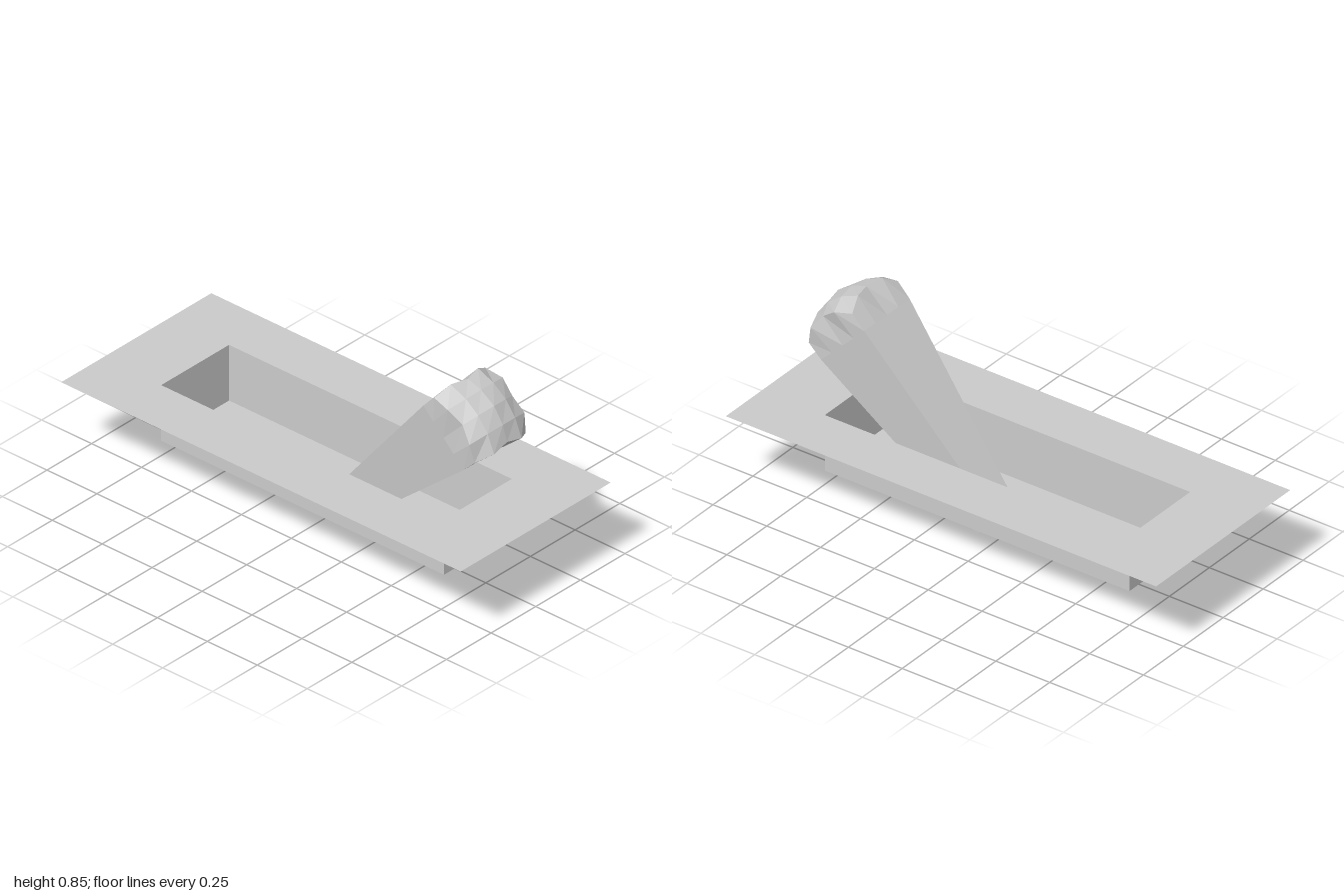
import * as THREE from 'three';

const TOP = 0.35, FLOOR = 0.105;
const material = new THREE.MeshStandardMaterial({ color: 0xcccccc, flatShading: true, side: THREE.DoubleSide });

// Flat-shaded mesh from quads, each given as four corner points
function quadMesh(name, quads) {
  const points = quads.flatMap(([a, b, c, d]) => [a, b, c, a, c, d]);
  const geometry = new THREE.BufferGeometry().setFromPoints(points);
  geometry.computeVertexNormals();
  const mesh = new THREE.Mesh(geometry, material);
  mesh.name = name;
  return mesh;
}

function rectangle(path, x, z0, z1) {
  path.moveTo(-x, z0);
  path.lineTo(x, z0);
  path.lineTo(x, z1);
  path.lineTo(-x, z1);
  path.closePath();
  return path;
}

// Thin cover plate with a rectangular slot
function createPlate() {
  const shape = rectangle(new THREE.Shape(), 1, -0.42, 0.42);
  shape.holes.push(rectangle(new THREE.Path(), 0.708, -0.187, 0.193));
  const plate = new THREE.Mesh(new THREE.ShapeGeometry(shape).rotateX(-Math.PI / 2), material);
  plate.position.y = TOP;
  plate.name = 'coverPlate';
  return plate;
}

// Open-topped tray hanging under the slot
function createTray() {
  const corners = [[-0.708, 0.187], [0.708, 0.187], [0.708, -0.193], [-0.708, -0.193]];
  const at = ([x, z], y) => new THREE.Vector3(x, y, z);
  const quads = corners.map((c, i) => {
    const n = corners[(i + 1) % 4];
    return [at(c, FLOOR), at(n, FLOOR), at(n, TOP), at(c, TOP)];
  });
  quads.push(corners.map((c) => at(c, FLOOR)).reverse());
  return quadMesh('recessTray', quads);
}

// Tapered square lever with a faceted, domed grip end; local y runs along the lever
function createLever() {
  const N = 4;
  const section = (y, half) => (i, j) => new THREE.Vector3((i / 2 - 1) * half, y, (j / 2 - 1) * half);
  const base = section(0, 0.065);
  const shoulder = section(0.866, 0.142);

  // Domed end: offset and height depend on the distance of a grid point from the middle
  const dome = (i, j) => {
    const a = i - 2, b = j - 2;
    const hi = Math.max(Math.abs(a), Math.abs(b)), lo = Math.min(Math.abs(a), Math.abs(b));
    const height = hi === 2 ? [0.998, 0.988, 0.945][lo] : hi === 1 ? [1.03, 1.02][lo] : 1.045;
    const edge = [0.139, 0.154, 0.143][lo];
    const offset = (v) => Math.sign(v) * (Math.abs(v) === 2 ? edge : Math.abs(v) * 0.077);
    return new THREE.Vector3(offset(a), height, offset(b));
  };

  // Walk around the rim of the grid
  const rim = [];
  for (let k = 0; k < N; k++) rim.push([k, 0]);
  for (let k = 0; k < N; k++) rim.push([N, k]);
  for (let k = N; k > 0; k--) rim.push([k, N]);
  for (let k = N; k > 0; k--) rim.push([0, k]);

  const quads = [];
  for (const [low, high] of [[base, shoulder], [shoulder, dome]]) {
    rim.forEach((p, k) => {
      const q = rim[(k + 1) % rim.length];
      quads.push([low(...p), high(...p), high(...q), low(...q)]);
    });
  }
  for (let i = 0; i < N; i++) {
    for (let j = 0; j < N; j++) {
      quads.push([dome(i, j), dome(i, j + 1), dome(i + 1, j + 1), dome(i + 1, j)]);
    }
  }
  quads.push([base(0, 0), base(N, 0), base(N, N), base(0, N)]);

  const lever = quadMesh('lever', quads);
  lever.rotation.z = -Math.PI / 4;
  lever.position.set(0.041, 0.046, -0.013);
  return lever;
}

export function createModel() {
  const group = new THREE.Group();
  group.name = 'leverSwitch';
  group.add(createPlate(), createTray(), createLever());
  return group;
}
